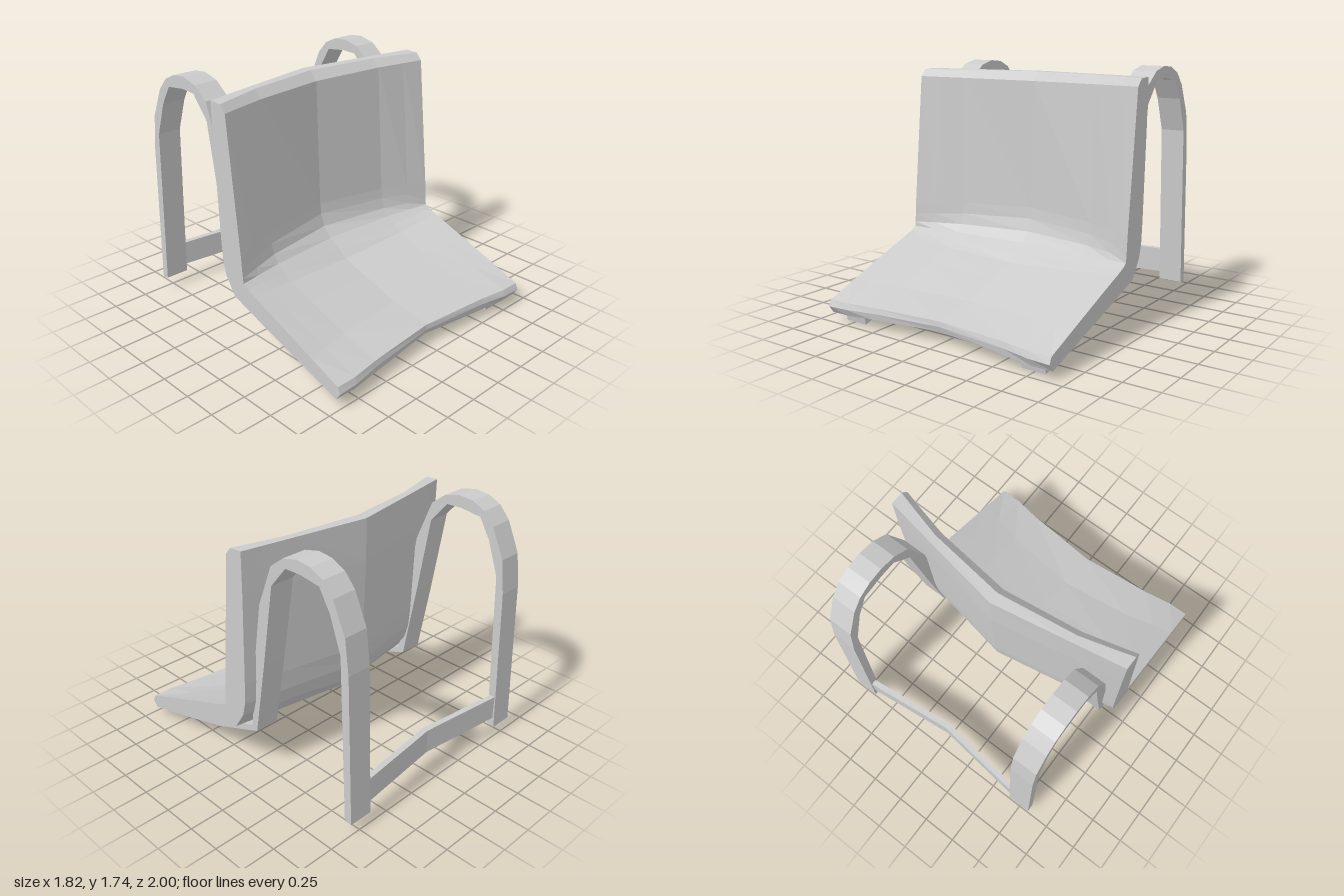
import * as THREE from 'three';

const mat = new THREE.MeshStandardMaterial({ color: 0xcccccc, flatShading: true });

// Shell cross-section, each row: [z, y at the side edge, z, y at the centre line]
const UPPER = [
  [1.0, 0.11, 0.9, 0.12], [0.98, 0.155, 0.895, 0.155],
  [0.75, 0.245, 0.6, 0.215], [0.4, 0.38, 0.33, 0.3], [0.2, 0.455, 0.13, 0.37],
  [0.14, 0.48, 0.06, 0.42], [0.1, 0.505, -0.03, 0.48], [0.095, 0.54, -0.1, 0.55],
  [0.09, 0.6, -0.13, 0.64], [0.085, 0.68, -0.14, 0.72],
  [-0.01, 1.64, -0.17, 1.63], [-0.055, 1.69, -0.23, 1.695],
];
const LOWER = [
  [-0.15, 1.695, -0.31, 1.695], [-0.145, 1.4, -0.315, 1.4], [-0.12, 0.75, -0.295, 0.75],
  [-0.11, 0.6, -0.275, 0.6], [-0.085, 0.5, -0.22, 0.46], [0, 0.37, -0.12, 0.35],
  [0.3, 0.27, 0.27, 0.15], [0.965, 0.06, 0.89, 0.085],
];

// Lofts the hollowed seat and backrest across x
function shellGeometry() {
  // [x, blend of upper face, blend of lower face, forward bulge of front edge]
  const stations = [[-0.91, 0, 0, 0], [-0.76, 0.25, 0.165, 0.02], [-0.55, 0.58, 0.4, 0.015], [0, 1, 1, 0],
    [0.55, 0.58, 0.4, 0.015], [0.76, 0.25, 0.165, 0.02], [0.91, 0, 0, 0]];
  const rows = [...UPPER, ...LOWER];
  const n = rows.length;
  const pos = [], idx = [];
  for (const [x, up, low, bulge] of stations) {
    rows.forEach(([sz, sy, cz, cy], i) => {
      const t = i < UPPER.length ? up : low;
      const front = i < 2 || i === n - 1 ? bulge : 0;
      pos.push(x, sy + (cy - sy) * t, sz + (cz - sz) * t + front);
    });
  }
  for (let s = 0; s < stations.length - 1; s++) {
    for (let i = 0; i < n; i++) {
      const j = (i + 1) % n;
      const a = s * n + i, b = s * n + j, c = a + n, d = b + n;
      idx.push(a, c, b, b, c, d);
    }
  }
  // End caps
  const outline = rows.map(([z, y]) => new THREE.Vector2(z, y));
  const last = (stations.length - 1) * n;
  const ccw = !THREE.ShapeUtils.isClockWise(outline);
  for (const tri of THREE.ShapeUtils.triangulateShape(outline, [])) {
    const [a, b, c] = ccw ? tri : [tri[0], tri[2], tri[1]];
    idx.push(a, b, c, last + a, last + c, last + b);
  }
  const g = new THREE.BufferGeometry();
  g.setAttribute('position', new THREE.Float32BufferAttribute(pos, 3));
  g.setIndex(idx);
  const flat = g.toNonIndexed();
  flat.computeVertexNormals();
  return flat;
}

// Bent flat strip: under the seat, up the back, over an arch and down to the rear foot
const OUTER = [[0.92, 0.06], [0.3, 0.235], [-0.07, 0.375], [-0.11, 0.6], [-0.14, 0.95], [-0.2, 1.33],
  [-0.32, 1.63], [-0.43, 1.715], [-0.55, 1.745], [-0.66, 1.735], [-0.76, 1.69], [-0.84, 1.6],
  [-0.935, 1.39], [-0.965, 1.15], [-1, 0.085]];
const INNER = [[-0.945, 0.1], [-0.9, 1.26], [-0.815, 1.5], [-0.73, 1.64], [-0.57, 1.66], [-0.45, 1.655],
  [-0.32, 1.5], [-0.22, 0.9], [-0.16, 0.57], [-0.12, 0.35], [0.0, 0.3], [0.3, 0.18], [0.91, 0.003]];

function legGeometry(width) {
  const shape = new THREE.Shape([...OUTER, ...INNER].map(([z, y]) => new THREE.Vector2(-z, y)));
  const g = new THREE.ExtrudeGeometry(shape, { depth: width, bevelEnabled: false });
  return g.translate(0, 0, -width / 2).rotateY(Math.PI / 2);
}

export function createModel() {
  const group = new THREE.Group();
  const add = (name, geometry) => {
    const mesh = new THREE.Mesh(geometry, mat);
    mesh.name = name;
    group.add(mesh);
    return mesh;
  };

  add('seatShell', shellGeometry());

  const leg = legGeometry(0.175);
  add('leftLeg', leg).position.x = 0.74;
  add('rightLeg', leg).position.x = -0.74;

  // Bar between the rear feet, bent forward at the middle
  const plan = [[-0.66, 0.985], [0, 0.91], [0.66, 0.985], [0.66, 0.945], [0, 0.867], [-0.66, 0.945]];
  const bar = new THREE.ExtrudeGeometry(
    new THREE.Shape(plan.map(([x, y]) => new THREE.Vector2(x, y))), { depth: 0.178, bevelEnabled: false });
  add('rearCrossbar', bar.rotateX(-Math.PI / 2).translate(0, 0.158, 0));

  return group;
}
